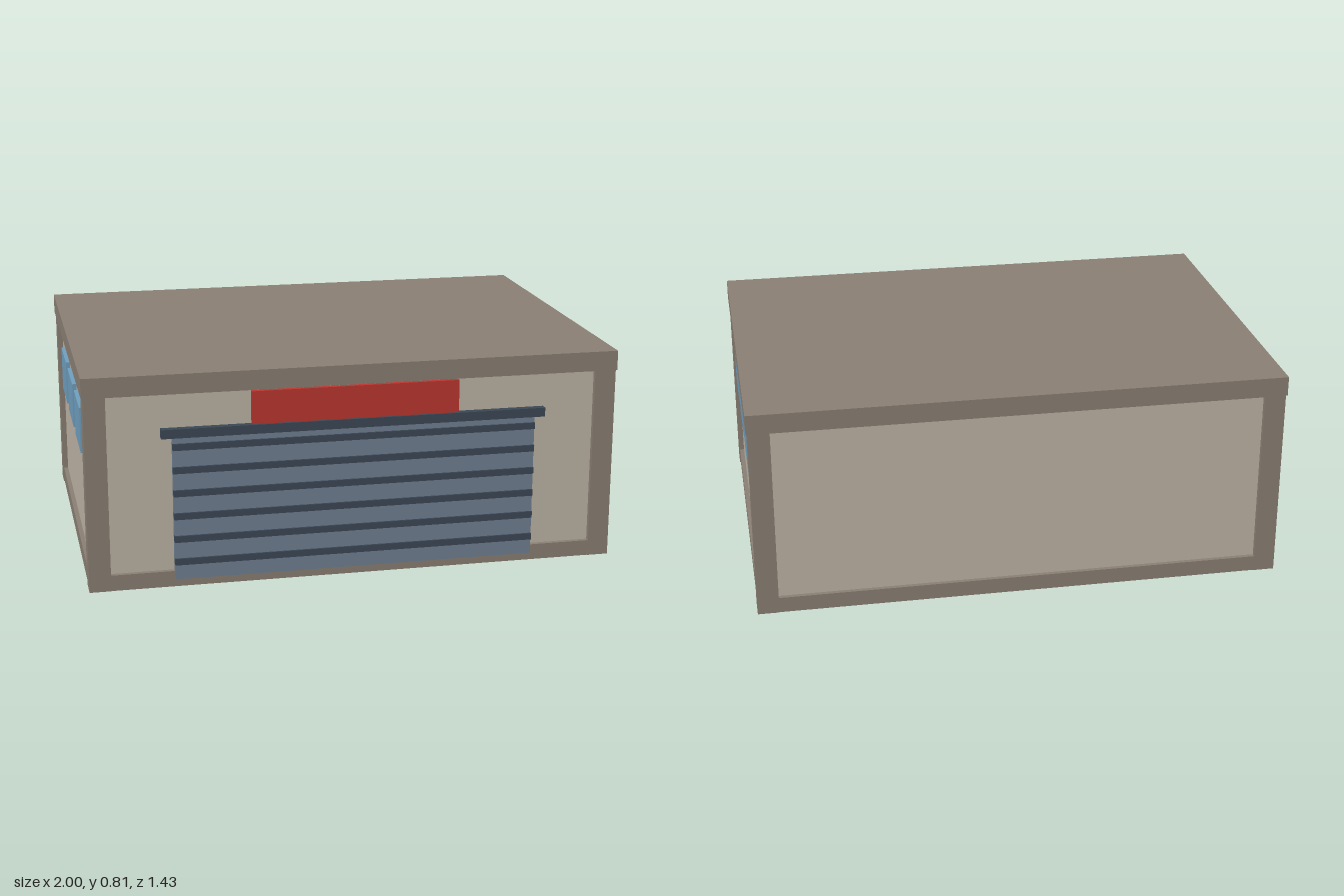
import * as THREE from 'three';

const paint = (color) => new THREE.MeshStandardMaterial({ color });

export function createModel() {
  const model = new THREE.Group();
  model.name = 'garage';

  const wall = paint(0xbfb5a6);
  const trim = paint(0x8b8074);
  const panel = paint(0x708092);
  const dark = paint(0x3c4856);
  const red = paint(0xbc362f);
  const glass = paint(0x70a0c0);

  // Box given by its extents along each axis
  function box(name, material, [x0, x1], [y0, y1], [z0, z1]) {
    const mesh = new THREE.Mesh(new THREE.BoxGeometry(x1 - x0, y1 - y0, z1 - z0), material);
    mesh.position.set((x0 + x1) / 2, (y0 + y1) / 2, (z0 + z1) / 2);
    mesh.name = name;
    model.add(mesh);
    return mesh;
  }

  // Building shell: recessed walls, plinth and flat roof
  box('walls', wall, [-0.975, 0.975], [0.01, 0.74], [-0.69, 0.683]);
  box('plinth', trim, [-0.992, 0.992], [0, 0.06], [-0.706, 0.7]);
  box('roof', trim, [-1, 1], [0.733, 0.807], [-0.712, 0.704]);

  // Corner posts
  for (const side of [-1, 1]) {
    const x = [side * 0.915, side * 0.995].sort((a, b) => a - b);
    box('frontPost', trim, x, [0, 0.735], [0.612, 0.702]);
    box('backPost', trim, x, [0, 0.735], [-0.708, -0.622]);
  }

  // Roller door with raised slats and a header above
  box('doorPanel', panel, [-0.68, 0.68], [0.03, 0.58], [0.675, 0.709]);
  for (let i = 0; i < 6; i++) {
    const y = 0.099 + i * 0.0877;
    box('doorSlat', dark, [-0.68, 0.68], [y - 0.0125, y + 0.0125], [0.69, 0.716]);
  }
  box('doorHeader', dark, [-0.72, 0.72], [0.57, 0.604], [0.675, 0.711]);

  // Plain sign board above the door
  box('signBoard', red, [-0.388, 0.388], [0.59, 0.727], [0.675, 0.701]);

  // Three windows on each side wall
  for (const side of [-1, 1]) {
    const x = [side * 0.96, side * 0.991].sort((a, b) => a - b);
    for (const z of [0.336, -0.004, -0.344]) {
      box('sideWindow', glass, x, [0.461, 0.633], [z - 0.127, z + 0.127]);
    }
  }

  return model;
}
